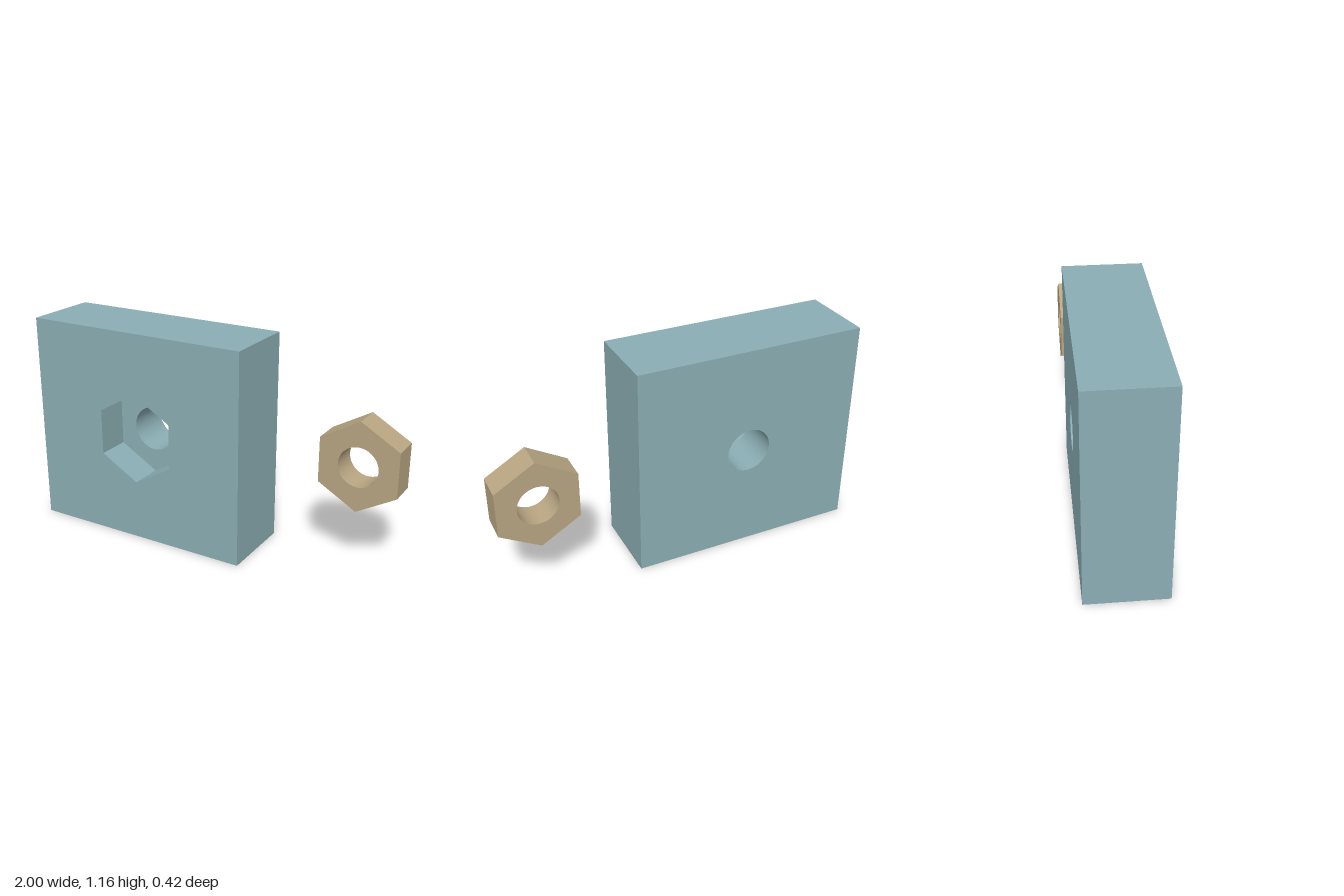
import * as THREE from 'three';
import { mergeGeometries, toCreasedNormals } from 'three/addons/utils/BufferGeometryUtils.js';

// Counter-clockwise regular polygon with a corner at the top
function ring(radius, sides) {
  return Array.from({ length: sides }, (_, i) => {
    const a = Math.PI / 2 + (i / sides) * Math.PI * 2;
    return new THREE.Vector2(Math.cos(a) * radius, Math.sin(a) * radius);
  });
}

// Flat face with a hole, at depth z, facing front or back
function face(outline, hole, z, back = false) {
  const shape = new THREE.Shape(outline);
  shape.holes.push(new THREE.Path(hole));
  const g = new THREE.ShapeGeometry(shape).toNonIndexed();
  g.deleteAttribute('uv');
  if (back) g.rotateY(Math.PI);
  return g.translate(0, 0, z);
}

// Wall along an outline from z0 to z1; inward walls line a hole
function wall(outline, z0, z1, inward = false) {
  const loop = inward ? [...outline].reverse() : outline;
  const pos = [];
  loop.forEach((a, i) => {
    const b = loop[(i + 1) % loop.length];
    pos.push(a.x, a.y, z0, b.x, b.y, z0, b.x, b.y, z1);
    pos.push(a.x, a.y, z0, b.x, b.y, z1, a.x, a.y, z1);
  });
  const g = new THREE.BufferGeometry();
  g.setAttribute('position', new THREE.Float32BufferAttribute(pos, 3));
  g.computeVertexNormals();
  return g;
}

function part(name, faces, material, x) {
  const mesh = new THREE.Mesh(toCreasedNormals(mergeGeometries(faces), 0.5), material);
  mesh.name = name;
  mesh.position.set(x, 0.58, 0);
  return mesh;
}

export function createModel() {
  const blue = new THREE.MeshStandardMaterial({ name: 'dusty blue', color: 0x8aadb3 });
  const tan = new THREE.MeshStandardMaterial({ name: 'tan', color: 0xb8a582 });
  const model = new THREE.Group();
  model.name = 'nutAndBlock';

  // Block with a hexagonal pocket in front and a round hole through it
  const w = 0.63, h = 0.58, front = 0.21, back = -0.21, floor = 0.026;
  const outline = [[-w, -h], [w, -h], [w, h], [-w, h]].map(p => new THREE.Vector2(...p));
  const pocket = ring(0.25, 6), bore = ring(0.122, 64);
  model.add(part('block', [
    wall(outline, back, front),
    face(outline, pocket, front),
    wall(pocket, floor, front, true),
    face(pocket, bore, floor),
    wall(bore, back, floor, true),
    face(outline, bore, back, true),
  ], blue, -0.37));

  // Loose hexagonal nut, flush with the back of the block
  const hex = ring(0.243, 6), nutBore = ring(0.107, 64), nutFront = -0.054;
  model.add(part('nut', [
    wall(hex, back, nutFront),
    wall(nutBore, back, nutFront, true),
    face(hex, nutBore, nutFront),
    face(hex, nutBore, back, true),
  ], tan, 0.789));

  return model;
}
